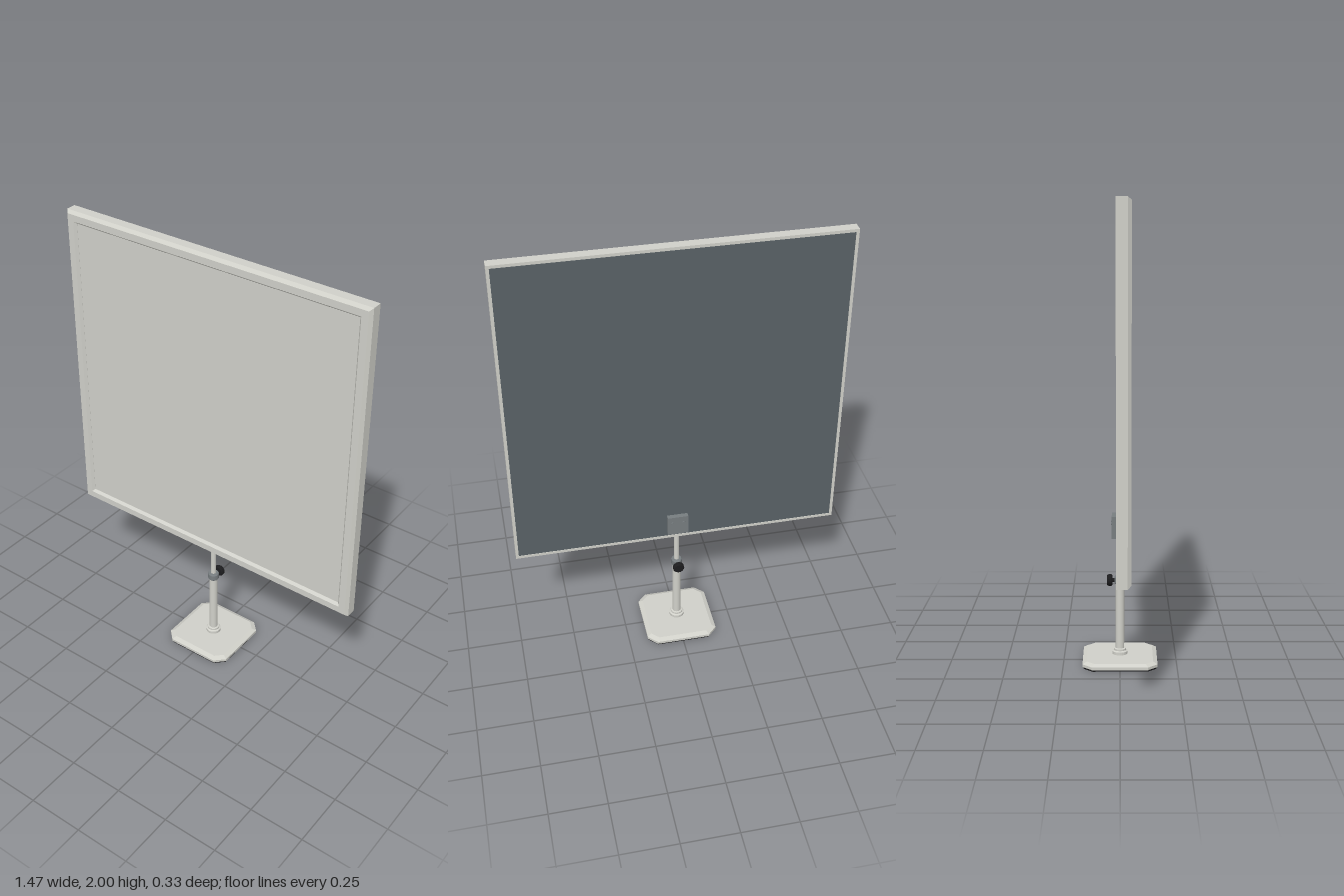
import * as THREE from 'three';

const material = (name, color) => {
  const m = new THREE.MeshStandardMaterial({ color });
  m.name = name;
  return m;
};

export function createModel() {
  const model = new THREE.Group();
  model.name = 'displayStand';
  const pale = material('pale warm grey', 0xd0d0c9);
  const slate = material('slate backing', 0x596166);
  const steel = material('steel grey', 0x777d80);
  const black = material('black rubber', 0x1c1c1e);

  const add = (name, geometry, mat, x = 0, y = 0, z = 0, parent = model) => {
    const mesh = new THREE.Mesh(geometry, mat);
    mesh.name = name;
    mesh.position.set(x, y, z);
    parent.add(mesh);
    return mesh;
  };

  // Revolved profile with crisp edges between its bands
  const turned = (profile, sides, phi = 0) => {
    const g = new THREE.LatheGeometry(profile.map(p => new THREE.Vector2(...p)), sides, phi).toNonIndexed();
    g.computeVertexNormals();
    return g;
  };

  // Square sign board, centred on its own origin
  const board = new THREE.Group();
  board.name = 'board';
  board.position.y = 1.265;
  model.add(board);

  // Mitred frame: a four-sided ring with chamfered outer and inner front edges
  const ring = [
    [0.722, -0.016], [0.735, -0.016], [0.735, 0.029], [0.723, 0.043],
    [0.693, 0.043], [0.683, 0.031], [0.683, 0.024], [0.722, 0.024], [0.722, -0.016],
  ].map(([half, z]) => [half * Math.SQRT2, z]);
  add('frame', turned(ring, 4, Math.PI / 4).rotateX(Math.PI / 2), pale, 0, 0, 0, board);
  add('frontPanel', new THREE.BoxGeometry(1.4, 1.4, 0.02), pale, 0, 0, 0.02, board);
  add('backPanel', new THREE.BoxGeometry(1.444, 1.444, 0.024), slate, 0, 0, -0.002, board);

  // Mounting bracket on the back, with two screws
  add('bracketPlate', new THREE.BoxGeometry(0.094, 0.096, 0.022), steel, 0, 0.612, -0.025);
  for (const side of [-1, 1]) {
    const screw = new THREE.CylinderGeometry(0.007, 0.007, 0.006, 12).rotateX(Math.PI / 2);
    add('bracketScrew', screw, steel, side * 0.026, 0.627, -0.037);
  }

  // Telescopic pole
  add('upperPole', new THREE.CylinderGeometry(0.012, 0.012, 0.24, 24), pale, 0, 0.46, 0);
  add('lowerPole', new THREE.CylinderGeometry(0.019, 0.019, 0.33, 24), pale, 0, 0.195, 0);
  add('clampCollar', turned([
    [0.012, 0.35], [0.021, 0.35], [0.025, 0.355], [0.025, 0.38], [0.021, 0.385], [0.012, 0.385],
  ], 24), steel);

  // Clamp knob pointing backwards
  add('knobStem', new THREE.CylinderGeometry(0.009, 0.009, 0.02, 12).rotateX(Math.PI / 2), black, 0, 0.366, -0.03);
  add('clampKnob', turned([
    [0, 0], [0.022, 0], [0.026, 0.005], [0.026, 0.017], [0.021, 0.023], [0, 0.023],
  ], 16).rotateX(-Math.PI / 2), black, 0, 0.366, -0.034);

  // Base flange
  add('baseFlange', turned([
    [0.034, 0.028], [0.034, 0.043], [0.027, 0.047], [0.027, 0.055], [0.019, 0.057],
  ], 24), pale);

  // Clipped-corner slab built from stacked octagons [inset, height]
  const slab = (levels) => {
    const octagon = (inset) => {
      const a = 0.164 - inset, b = 0.122 - inset * 0.5;
      return [[a, -b], [a, b], [b, a], [-b, a], [-a, b], [-a, -b], [-b, -a], [b, -a]];
    };
    const pos = [];
    const point = (k, i) => {
      const [x, z] = octagon(levels[k][0])[i % 8];
      return [x, levels[k][1], z];
    };
    const last = levels.length - 1;
    for (let i = 0; i < 8; i++) {
      for (let k = 0; k < last; k++) {
        const a = point(k, i), b = point(k, i + 1), c = point(k + 1, i + 1), d = point(k + 1, i);
        pos.push(...a, ...c, ...b, ...a, ...d, ...c);
      }
      pos.push(0, levels[last][1], 0, ...point(last, i + 1), ...point(last, i));
      pos.push(0, levels[0][1], 0, ...point(0, i), ...point(0, i + 1));
    }
    const g = new THREE.BufferGeometry();
    g.setAttribute('position', new THREE.Float32BufferAttribute(pos, 3));
    g.computeVertexNormals();
    return g;
  };
  add('basePlate', slab([[0, 0.008], [0, 0.02], [0.019, 0.03]]), pale);
  add('basePad', slab([[0.004, 0], [0.004, 0.009]]), black);

  return model;
}
